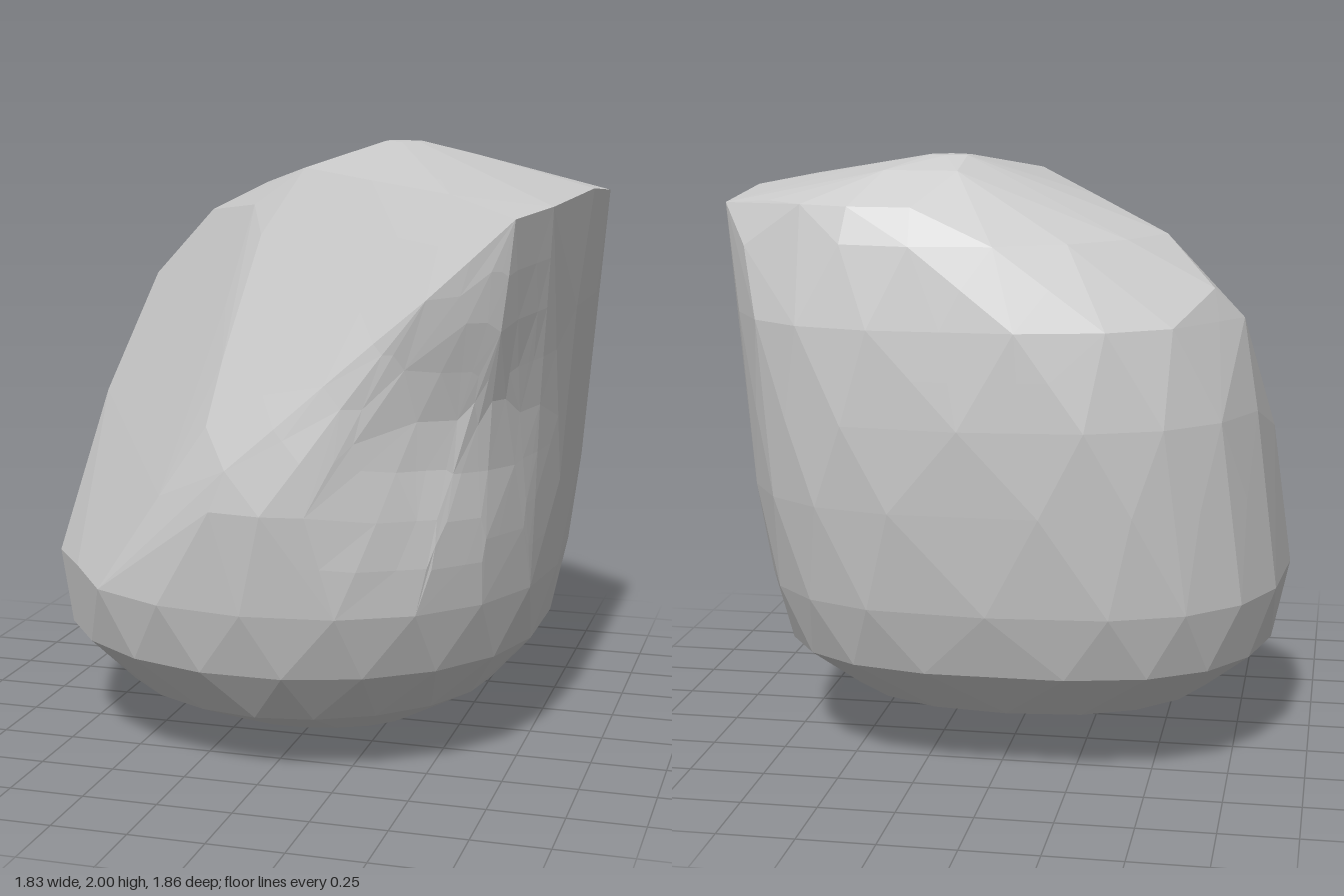
import * as THREE from 'three';
import { ConvexGeometry } from 'three/addons/geometries/ConvexGeometry.js';

// Horizontal sections of the boulder: y, xMin, xMax, zMin, zMax
const SECTIONS = [
  [0.0, -0.06, 0.05, 0.05, 0.18],
  [0.06, -0.4, 0.36, -0.18, 0.35],
  [0.2, -0.68, 0.62, -0.6, 0.68],
  [0.38, -0.875, 0.78, -0.78, 0.82],
  [0.6, -0.92, 0.83, -0.86, 0.89],
  [0.93, -0.87, 0.865, -0.91, 0.92],
  [1.2, -0.85, 0.87, -0.93, 0.89],
  [1.5, -0.77, 0.9, -0.915, 0.85],
  [1.75, -0.55, 0.9, -0.87, 0.8],
  [1.86, -0.28, 0.88, -0.79, 0.6],
  [1.96, 0.0, 0.45, -0.65, -0.1],
  [2.0, 0.1, 0.24, -0.5, -0.4],
];

// Sharp ridges around the split face, the flat side and the corner below its top
const RIDGES = [
  [0.82, 1.84, 0.81], [0.57, 1.89, 0.57], [0.25, 1.91, 0.3], [-0.05, 1.93, 0.04],
  [-0.22, 1.86, -0.15], [-0.68, 1.6, -0.52], [-0.77, 1.5, -0.44], [-0.86, 1.1, -0.15],
  [0.57, 1.6, 0.86], [0.2, 1.25, 0.88], [-0.05, 1.06, 0.9], [0.07, 0.93, 0.93],
  [0.78, 1.5, 0.765], [0.72, 1.2, 0.73],
  [0.89, 1.86, 0.57], [0.91, 1.87, -0.1], [0.91, 1.84, -0.47], [0.8, 1.72, -0.64],
];

// The split face: two planes meeting at a slight bend
const SPLITS = [
  { n: new THREE.Vector3(-0.48, 0.61, 0.62), d: 1.225 },
  { n: new THREE.Vector3(-0.705, 0.497, 0.503), d: 1.06 },
];

const CORE = new THREE.Vector3(0.1, 0.9, -0.1);
const MAX_EDGE = 0.3;

// Shallow hollow under the overhanging corner
const HOLLOW = new THREE.Vector3(0.62, 1.2, 0.74);
const HOLLOW_PUSH = new THREE.Vector3(-0.035, 0, -0.065);

const signedPow = (v, p) => Math.sign(v) * Math.abs(v) ** p;

// Pull a point towards the core until it lies behind both split planes
function clip(p) {
  for (const { n, d } of SPLITS) {
    const inner = n.dot(CORE), outer = n.dot(p);
    if (outer > d) p.lerpVectors(CORE, p, (d - inner) / (outer - inner));
  }
  return p;
}

// How square a section is: fuller at mid height and at the back
function squareness(y, right, front) {
  if (y < 0.3) return front ? 1.9 : 2.4;
  if (y > 1.7) return 2.1;
  if (front) return right && y > 0.5 ? 2.25 : 2.05;
  return right ? 3 : 2.7;
}

function sectionPoints([y, x0, x1, z0, z1], row) {
  const t = THREE.MathUtils.clamp((y - 0.2) / 0.6, 0, 1);
  const cx = THREE.MathUtils.lerp((x0 + x1) / 2, x0 + (x1 - x0) * 0.53, t);
  const cz = THREE.MathUtils.lerp((z0 + z1) / 2, z0 + (z1 - z0) * 0.47, t);
  const sides = x1 - x0 < 0.5 ? 6 : 20;
  const points = [];
  for (let i = 0; i < sides; i++) {
    const a = ((i + (row % 2) * 0.5) / sides) * Math.PI * 2;
    const c = Math.cos(a), s = Math.sin(a);
    const power = 2 / squareness(y, c > 0, s > 0);
    const u = signedPow(c, power), v = signedPow(s, power);
    points.push(clip(new THREE.Vector3(
      cx + u * (u > 0 ? x1 - cx : cx - x0), y,
      cz + v * (v > 0 ? z1 - cz : cz - z0))));
  }
  return points;
}

// Halve the longest edge until no edge is too long
function split(a, b, c, out) {
  const ab = a.distanceTo(b), bc = b.distanceTo(c), ca = c.distanceTo(a);
  const longest = Math.max(ab, bc, ca);
  if (longest <= MAX_EDGE) out.push(a, b, c);
  else if (longest === bc) split(b, c, a, out);
  else if (longest === ca) split(c, a, b, out);
  else {
    const m = a.clone().add(b).multiplyScalar(0.5);
    split(a, m, c, out);
    split(m, b, c, out);
  }
}

const pressHollow = p => p.clone().addScaledVector(
  HOLLOW_PUSH, Math.exp(-p.distanceToSquared(HOLLOW) / 0.09));

export function createModel() {
  const points = SECTIONS.flatMap(sectionPoints);
  for (const r of RIDGES) points.push(new THREE.Vector3(...r));

  const hull = new ConvexGeometry(points).getAttribute('position');
  const corner = i => new THREE.Vector3().fromBufferAttribute(hull, i);
  const facets = [];
  for (let i = 0; i < hull.count; i += 3) split(corner(i), corner(i + 1), corner(i + 2), facets);

  const geometry = new THREE.BufferGeometry().setFromPoints(facets.map(pressHollow));
  geometry.computeVertexNormals();
  const boulder = new THREE.Mesh(
    geometry, new THREE.MeshStandardMaterial({ color: 0xcccccc, flatShading: true }));
  boulder.name = 'boulder';

  const group = new THREE.Group();
  group.name = 'rock';
  group.add(boulder);
  return group;
}
